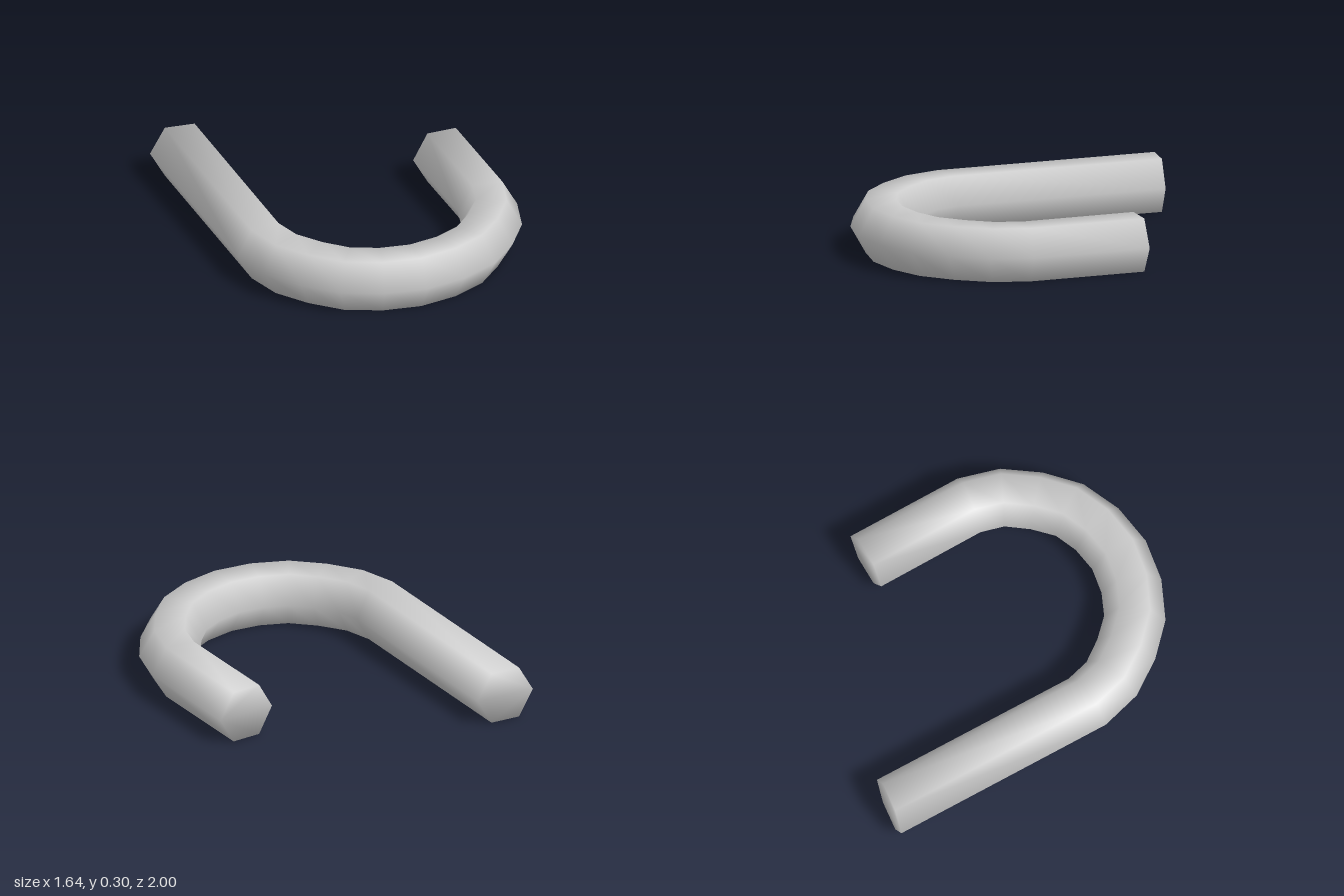
import * as THREE from 'three';

const SIDES = 6, R = 0.168, RY = 0.172, MID_Y = RY * Math.sin(Math.PI / 3);

// Half of the bend as [x, z], from the straight leg to the front middle
const halfBend = [[0.655, 0.26], [0.605, 0.44], [0.495, 0.595], [0.36, 0.725], [0.19, 0.8]];

// Hexagonal bar swept along a flat path, softly shaded over its closed ends
function sweepBar(path, startTilt) {
  const pos = [], nor = [], idx = [];
  const last = path.length - 1;
  const dir = i => path[i + 1].clone().sub(path[i]).normalize();
  path.forEach((p, i) => {
    const t = dir(Math.min(i, last - 1)).add(dir(Math.max(i - 1, 0))).normalize();
    const out = new THREE.Vector3(-t.y, 0, t.x);
    const cap = i === 0 ? -0.77 : i === last ? 0.77 : 0;
    for (let j = 0; j < SIDES; j++) {
      const a = j / SIDES * Math.PI * 2, c = Math.cos(a), s = Math.sin(a);
      const slant = i === 0 ? -startTilt * c : 0;
      pos.push(p.x + out.x * R * c + t.x * slant, MID_Y + RY * s, p.y + out.z * R * c + t.y * slant);
      const n = new THREE.Vector3(out.x * c + t.x * cap, s, out.z * c + t.y * cap).normalize();
      nor.push(n.x, n.y, n.z);
      if (i < last) {
        const v = i * SIDES + j, w = i * SIDES + (j + 1) % SIDES;
        idx.push(v, v + SIDES, w, w, v + SIDES, w + SIDES);
      }
    }
  });
  // Flat end faces
  const e = last * SIDES;
  for (let j = 1; j < SIDES - 1; j++) idx.push(0, j, j + 1, e, e + j + 1, e + j);
  const g = new THREE.BufferGeometry();
  g.setAttribute('position', new THREE.Float32BufferAttribute(pos, 3));
  g.setAttribute('normal', new THREE.Float32BufferAttribute(nor, 3));
  g.setIndex(idx);
  return g;
}

export function createModel() {
  const path = [
    [-0.652, -0.982], // end of the long leg
    ...halfBend.map(([x, z]) => [-x, z]),
    [0, 0.83],
    ...[...halfBend].reverse(),
    [0.65, -0.39], // end of the short leg
  ].map(([x, z]) => new THREE.Vector2(x, z));

  const hook = new THREE.Mesh(sweepBar(path, 0.018), new THREE.MeshStandardMaterial({ color: 0xcccccc }));
  hook.name = 'hookBar';
  const group = new THREE.Group();
  group.name = 'hook';
  group.add(hook);
  return group;
}
